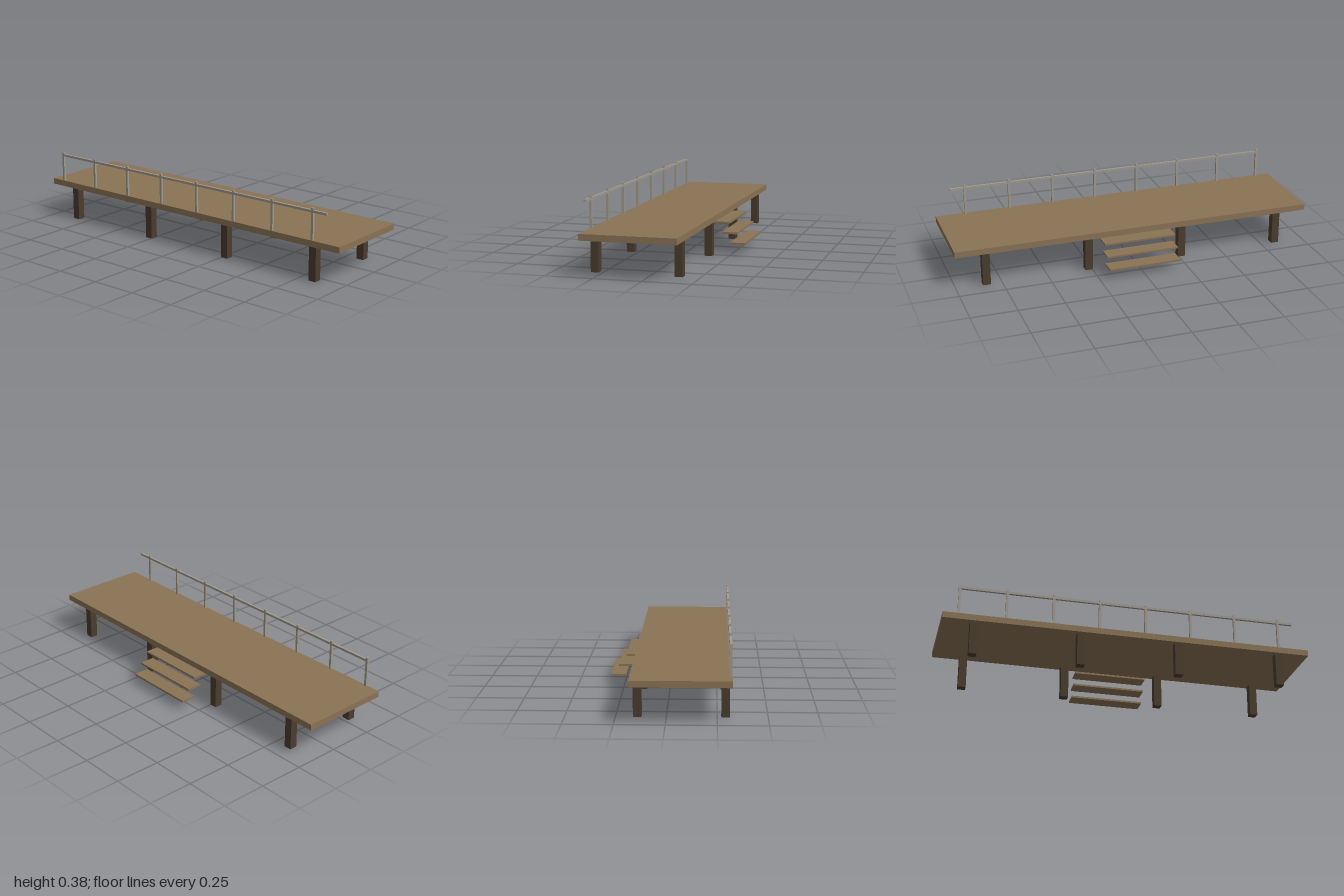
import * as THREE from 'three';

const wood = new THREE.MeshStandardMaterial({ color: 0x8b7355 });
const darkWood = new THREE.MeshStandardMaterial({ color: 0x4a3c2e });
const metal = new THREE.MeshStandardMaterial({ color: 0xa09a8e });

export function createModel() {
  const model = new THREE.Group();
  model.name = 'raisedDeck';

  const addBox = (name, material, [w, h, d], [x, y, z]) => {
    const mesh = new THREE.Mesh(new THREE.BoxGeometry(w, h, d), material);
    mesh.name = name;
    mesh.position.set(x, y, z);
    model.add(mesh);
  };

  // Platform slab
  addBox('deck', wood, [2, 0.033, 0.5], [0, 0.2005, 0.073]);

  // Two rows of square support posts
  for (const x of [-0.833, -0.267, 0.267, 0.833]) {
    for (const z of [0.291, -0.143]) {
      addBox('supportPost', darkWood, [0.042, 0.184, 0.042], [x, 0.092, z]);
    }
  }

  // Floating steps descending at the back
  for (let i = 0; i < 3; i++) {
    addBox('step', wood, [0.4, 0.01, 0.083], [0, 0.1675 - i * 0.0555, -0.1945 - i * 0.043]);
  }

  // Railing along the front edge: eight posts, handrail running on past the last
  for (let i = 0; i < 8; i++) {
    addBox('railingPost', metal, [0.0125, 0.167, 0.0125], [-0.917 + i * 0.25, 0.3005, 0.315]);
  }
  addBox('handrail', metal, [1.834, 0.0125, 0.0125], [0, 0.3675, 0.315]);

  return model;
}
